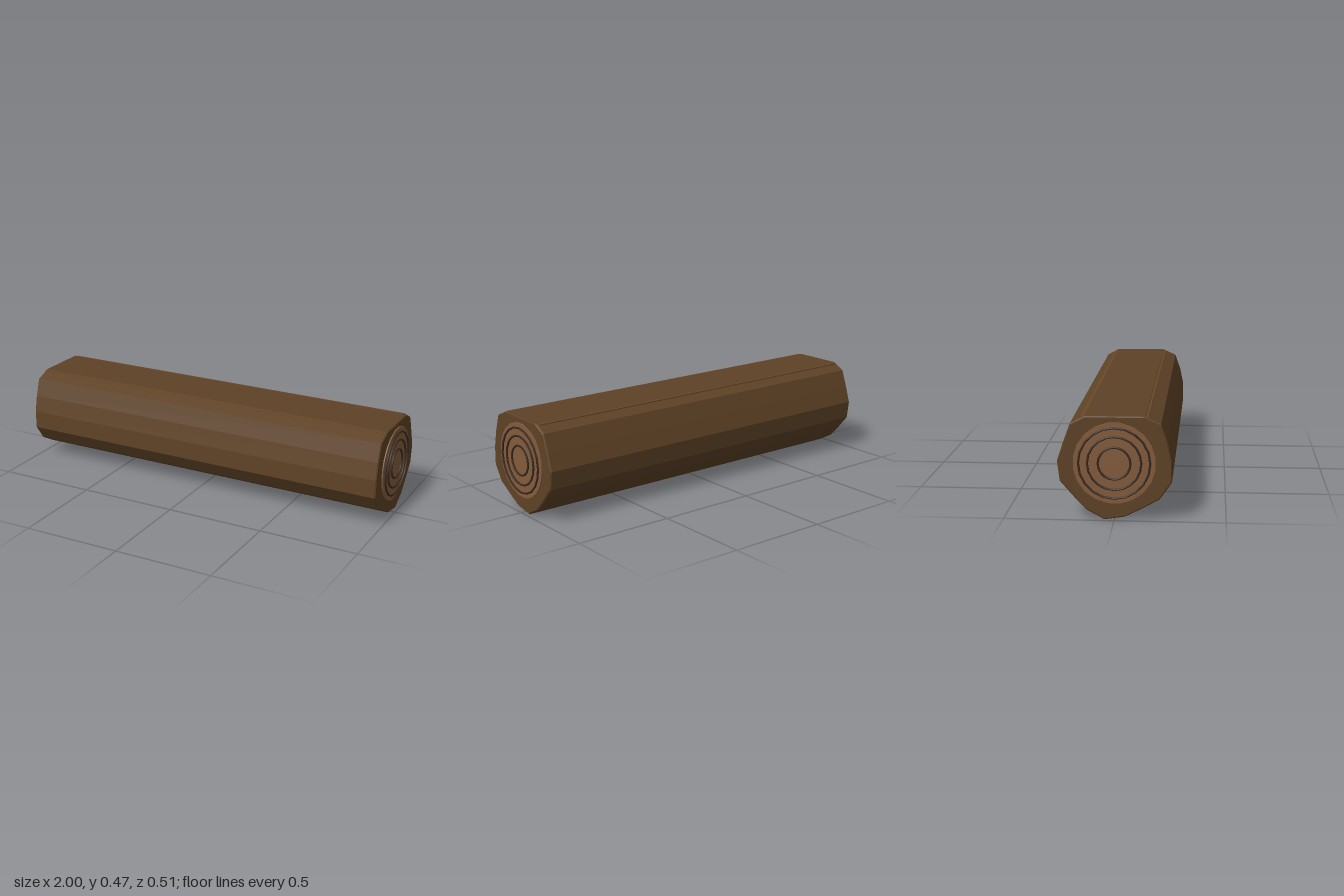
import * as THREE from 'three';

const material = (name, color) => new THREE.MeshStandardMaterial({ name, color });

export function createModel() {
  const bark = material('bark', 0x5e4226);
  const cutWood = material('cut wood', 0x835c3c);
  const ringWood = material('dark growth ring', 0x3a2a20);
  const edgeWood = material('worn edge', 0x6b4a2a);

  const log = new THREE.Group();
  log.name = 'log';
  const add = (name, geometry, mat) => {
    const mesh = new THREE.Mesh(geometry, mat);
    mesh.name = name;
    log.add(mesh);
    return mesh;
  };

  // Hewn trunk: uneven outline as [z, y], flat on top
  const outline = [
    [0.135, 0.475], [-0.133, 0.475], [-0.198, 0.44], [-0.229, 0.355],
    [-0.257, 0.27], [-0.245, 0.178], [-0.187, 0.111], [-0.128, 0.048],
    [-0.045, 0.002], [0.048, 0.017], [0.127, 0.057], [0.203, 0.1],
    [0.257, 0.178], [0.256, 0.27], [0.238, 0.355], [0.208, 0.443],
  ];
  const shape = new THREE.Shape(outline.map(([z, y]) => new THREE.Vector2(-z, y)));
  const bevel = 0.005;
  const trunk = new THREE.ExtrudeGeometry(shape, {
    depth: 1.96, bevelEnabled: true, bevelSegments: 1,
    bevelThickness: bevel, bevelSize: bevel, bevelOffset: -bevel,
  });
  trunk.translate(0, 0, -0.98).rotateY(Math.PI / 2);
  add('trunk', trunk, bark);

  // Slim worn edges along the flat top
  for (const side of [-1, 1]) {
    add('topEdge', new THREE.BoxGeometry(1.94, 0.012, 0.02), edgeWood)
      .position.set(0, 0.466, side * 0.14);
  }

  // Sawn ends with raised growth rings
  const centreY = 0.264;
  for (const side of [-1, 1]) {
    const disc = new THREE.CylinderGeometry(0.186, 0.186, 0.01, 20, 1, false, Math.PI / 20);
    disc.rotateZ(Math.PI / 2);
    add('cutFace', disc, cutWood).position.set(side * 0.986, centreY, 0);

    for (const radius of [0.073, 0.121, 0.161]) {
      const ring = new THREE.TorusGeometry(radius, 0.005, 6, 20);
      ring.rotateY(Math.PI / 2);
      add('growthRing', ring, ringWood).position.set(side * 0.995, centreY, 0);
    }
  }
  return log;
}
